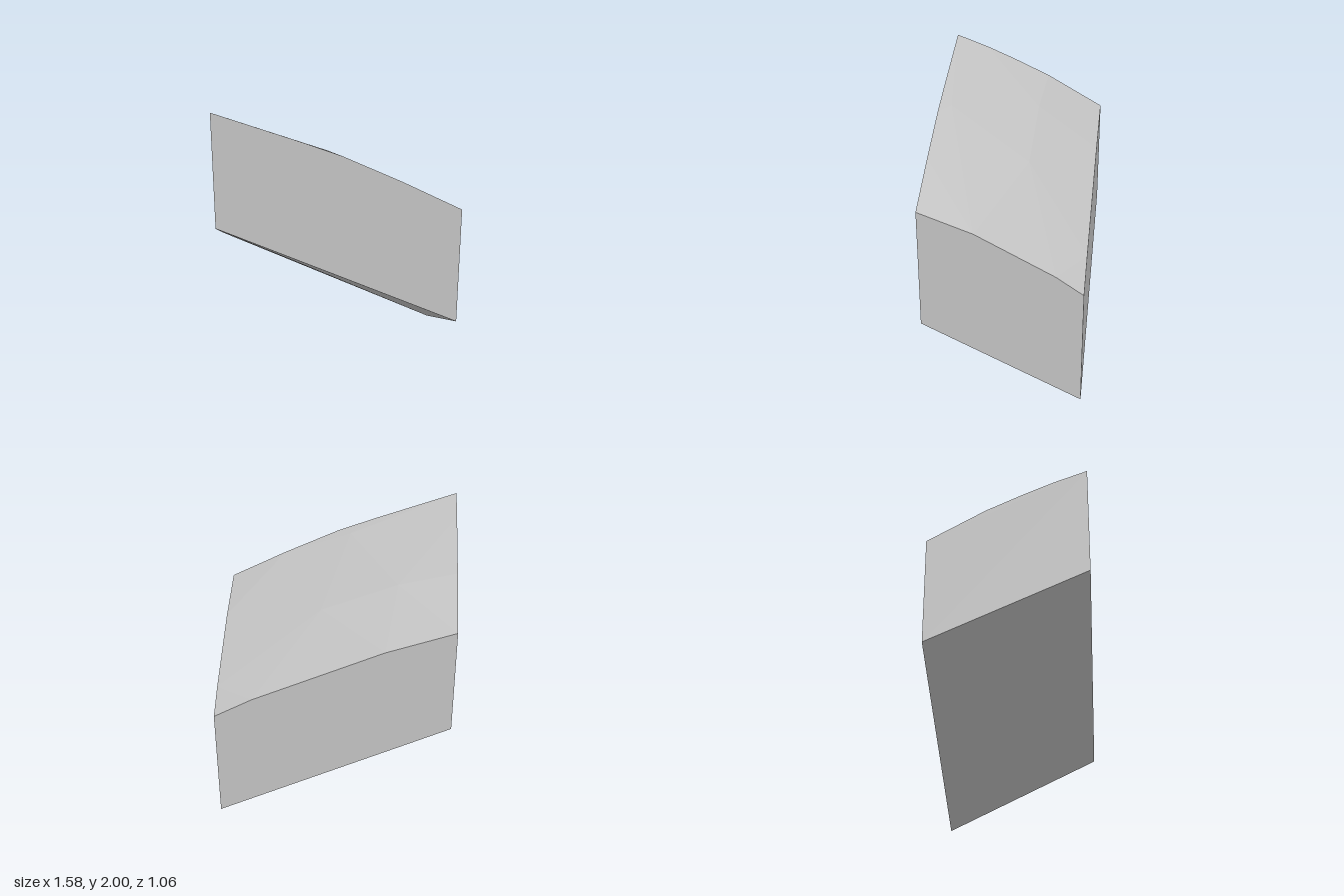
import * as THREE from 'three';
import { ConvexGeometry } from 'three/addons/geometries/ConvexGeometry.js';

const X = 0.79, Z = 0.53;

export function createModel() {
  const group = new THREE.Group();
  group.name = 'slantedBlock';
  const stone = new THREE.MeshStandardMaterial({ color: 0xc0c0c0 });
  stone.name = 'light grey';

  const corners = [
    // sloping underside
    [-X, 1.24, Z], [X, 0.51, Z], [-X, 0.77, -Z], [X, 0, -Z],
    // top corners
    [-X, 2, Z], [X, 1.32, Z], [-X, 1.5, -Z], [X, 0.8, -Z],
  ];
  // gently bowed top rims
  const front = [[-0.24, 1.8], [0.02, 1.7], [0.4, 1.52]].map(([x, y]) => [x, y, Z]);
  const back = [[-0.34, 1.34], [0.53, 0.945]].map(([x, y]) => [x, y, -Z]);
  const leftRim = [[0.31, 1.92], [0.11, 1.835], [-0.14, 1.72]].map(([z, y]) => [-X, y, z]);
  const rightRim = [[0.17, 1.19], [-0.35, 0.92]].map(([z, y]) => [X, y, z]);
  // low dome of the upper face
  const dome = [[-0.41, 1.61, -0.11], [0.1, 1.4, -0.1], [-0.07, 1.715, 0.45], [0.75, 0.945, -0.34]];

  const points = [...corners, ...front, ...back, ...leftRim, ...rightRim, ...dome]
    .map((p) => new THREE.Vector3(...p));
  const block = new THREE.Mesh(new ConvexGeometry(points), stone);
  block.name = 'block';
  group.add(block);
  return group;
}
